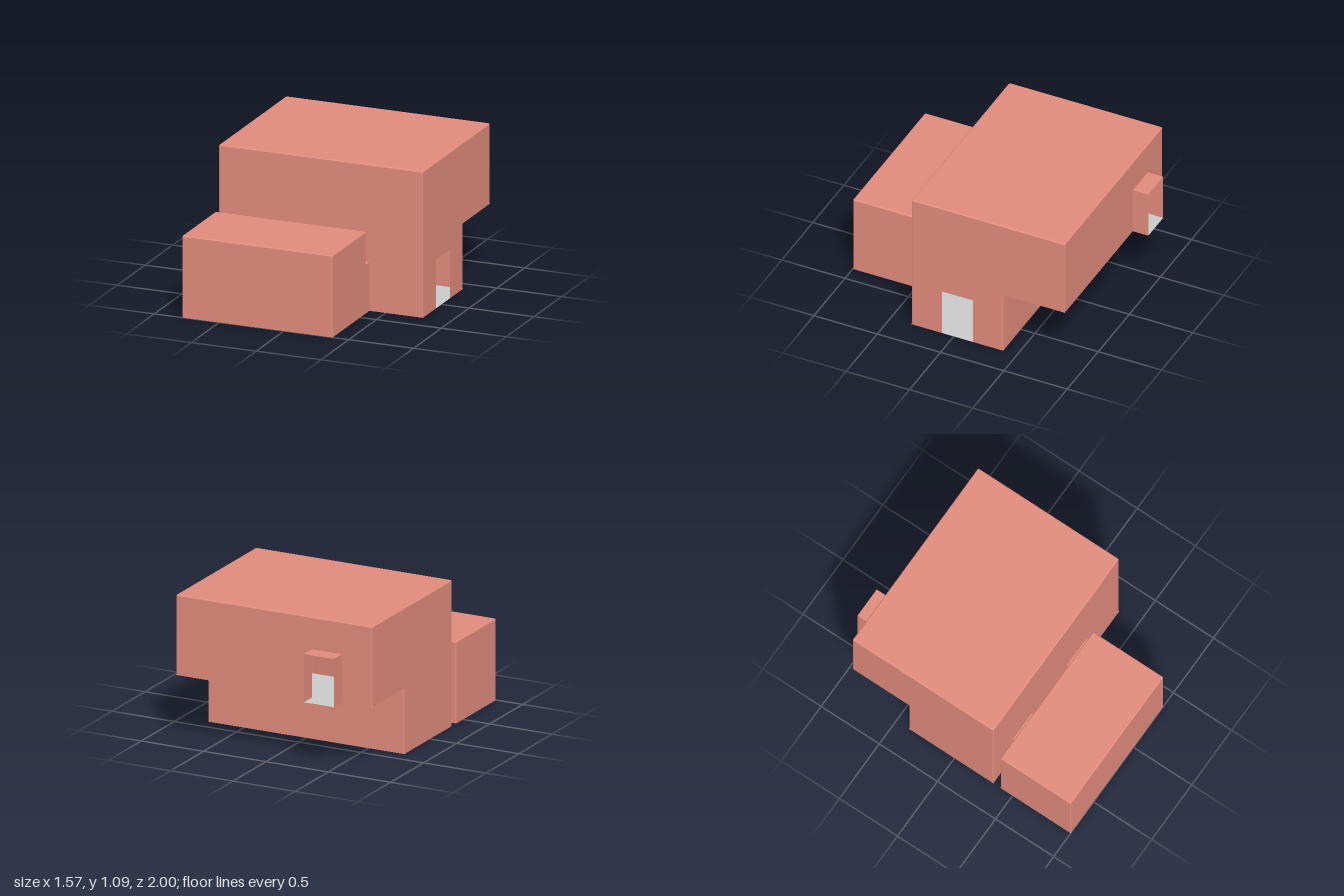
import * as THREE from 'three';

const R = 0.01; // radius of the rounded wall edges

export function createModel() {
  const model = new THREE.Group();
  const wallMat = new THREE.MeshStandardMaterial({ color: 0xe28c7d, side: THREE.DoubleSide });
  const floorMat = new THREE.MeshStandardMaterial({ color: 0xcccccc, side: THREE.DoubleSide });

  // Flat sheet at a fixed x, y or z; its normal points along sign * axis.
  // In-plane axes: x -> (z, y), y -> (x, z), z -> (x, y).
  // doors: [from, to, top] cut upward from the lower edge.
  function panel(group, name, axis, sign, at, [u0, u1, v0, v1], doors = [], mat = wallMat) {
    const pts = [[u0, v0]];
    for (const [a, b, top] of doors) pts.push([a, v0], [a, top], [b, top], [b, v0]);
    pts.push([u1, v0], [u1, v1], [u0, v1]);
    const geo = new THREE.ShapeGeometry(new THREE.Shape(pts.map(p => new THREE.Vector2(...p))));
    const pos = geo.attributes.position;
    for (let i = 0; i < pos.count; i++) {
      const u = pos.getX(i), v = pos.getY(i);
      if (axis === 'x') pos.setXYZ(i, at, v, u);
      else if (axis === 'y') pos.setXYZ(i, u, at, v);
      else pos.setXYZ(i, u, v, at);
    }
    if (sign !== (axis === 'z' ? 1 : -1)) geo.setIndex(Array.from(geo.index.array).reverse());
    geo.computeVertexNormals();
    const mesh = new THREE.Mesh(geo, mat);
    mesh.name = name;
    group.add(mesh);
  }
  const floor = (group, name, y, rect) => panel(group, name, 'y', -1, y, rect, [], floorMat);

  // Quarter-round strip from a to b (arc centres), bulging between directions p and q
  function edge(group, a, b, p, q) {
    const pos = [], nor = [], idx = [], n = 4;
    const A = new THREE.Vector3(...a), B = new THREE.Vector3(...b);
    let P = new THREE.Vector3(...p), Q = new THREE.Vector3(...q);
    if (P.clone().cross(Q).dot(B.clone().sub(A)) < 0) [P, Q] = [Q, P];
    for (let i = 0; i <= n; i++) {
      const t = (i / n) * Math.PI / 2;
      const d = P.clone().multiplyScalar(Math.cos(t)).addScaledVector(Q, Math.sin(t));
      for (const end of [A, B]) {
        pos.push(...end.clone().addScaledVector(d, R).toArray());
        nor.push(...d.toArray());
      }
      const k = 2 * i;
      if (i < n) idx.push(k, k + 2, k + 1, k + 1, k + 2, k + 3);
    }
    const geo = new THREE.BufferGeometry();
    geo.setAttribute('position', new THREE.Float32BufferAttribute(pos, 3));
    geo.setAttribute('normal', new THREE.Float32BufferAttribute(nor, 3));
    geo.setIndex(idx);
    const mesh = new THREE.Mesh(geo, wallMat);
    mesh.name = 'roundedEdge';
    group.add(mesh);
  }

  // Upright rounded corners on both sides at one end in z
  function uprights(group, x0, x1, z, sz, y0, y1) {
    for (const [x, sx] of [[x0, -1], [x1, 1]]) {
      const X = x - sx * R, Z = z - sz * R;
      edge(group, [X, y0, Z], [X, y1, Z], [sx, 0, 0], [0, 0, sz]);
    }
  }

  // Roof with rounded rim and corners
  function roof(group, x0, x1, z0, z1, y) {
    const a = x0 + R, b = x1 - R, c = z0 + R, d = z1 - R, h = y - R;
    panel(group, 'roof', 'y', 1, y, [a, b, c, d]);
    for (const [z, s] of [[c, -1], [d, 1]]) edge(group, [a, h, z], [b, h, z], [0, 1, 0], [0, 0, s]);
    for (const [x, s] of [[a, -1], [b, 1]]) {
      edge(group, [x, h, c], [x, h, d], [0, 1, 0], [s, 0, 0]);
      for (const z of [c, d]) {
        const ball = new THREE.Mesh(new THREE.SphereGeometry(R, 12, 8), wallMat);
        ball.name = 'roofCorner';
        ball.position.set(x, h, z);
        group.add(ball);
      }
    }
  }

  // Short passage: two sides, ceiling and floor, open at both ends
  function passage(name, x0, x1, y0, y1, z0, z1) {
    const g = new THREE.Group();
    g.name = name;
    panel(g, 'passageSide', 'x', -1, x0, [z0, z1, y0, y1]);
    panel(g, 'passageSide', 'x', 1, x1, [z0, z1, y0, y1]);
    panel(g, 'passageCeiling', 'y', 1, y1, [x0, x1, z0, z1]);
    floor(g, 'passageFloor', y0, [x0, x1, z0, z1]);
    model.add(g);
  }

  const X0 = -0.787, X1 = 0.787;                           // main hall sides
  const zFront = 0.335, zBack = -0.39, zUpper = -0.877;    // main hall depths
  const yUp = 0.49, yTop = 1.09, door = 0.365;
  const doorA = [-0.545, -0.305], doorB = [0.13, 0.375];

  // Main hall with overhanging upper level
  const hall = new THREE.Group();
  hall.name = 'mainHall';
  const xs = [X0 + R, X1 - R];
  panel(hall, 'frontWall', 'z', 1, zFront, [...xs, 0, yTop - R], [[...doorA, door], [...doorB, door]]);
  panel(hall, 'lowerBackWall', 'z', -1, zBack, [...xs, 0, yUp]);
  panel(hall, 'upperBackWall', 'z', -1, zUpper, [...xs, yUp, yTop - R], [[...doorA, 0.85]]);
  for (const s of [-1, 1]) {
    const x = s < 0 ? X0 : X1;
    panel(hall, 'lowerSideWall', 'x', s, x, [zBack + R, zFront - R, 0, yUp], s > 0 ? [[-0.15, 0.095, door]] : []);
    panel(hall, 'upperSideWall', 'x', s, x, [zUpper + R, zFront - R, yUp, yTop - R]);
  }
  floor(hall, 'lowerFloor', 0, [X0, X1, zBack, zFront]);
  floor(hall, 'upperFloor', yUp, [X0, X1, zUpper, zBack]);
  uprights(hall, X0, X1, zFront, 1, 0, yTop - R);
  uprights(hall, X0, X1, zBack, -1, 0, yUp);
  uprights(hall, X0, X1, zUpper, -1, yUp, yTop - R);
  roof(hall, X0, X1, zUpper, zFront, yTop);
  model.add(hall);

  // Lower front room
  const room = new THREE.Group();
  room.name = 'frontRoom';
  const rx = 0.375, rz = 0.395, rTop = 0.61;
  panel(room, 'frontWall', 'z', 1, 1, [X0 + R, rx - R, 0, rTop - R]);
  panel(room, 'backWall', 'z', -1, rz, [X0 + R, rx - R, 0, rTop - R],
    [[...doorA, door], [doorB[0], rx - 1.5 * R, door]]);
  panel(room, 'sideWall', 'x', -1, X0, [rz + R, 1 - R, 0, rTop - R]);
  panel(room, 'sideWall', 'x', 1, rx, [rz + R, 1 - R, 0, rTop - R]);
  floor(room, 'floor', 0, [X0, rx, rz, 1]);
  uprights(room, X0, rx, 1, 1, 0, rTop - R);
  uprights(room, X0, rx, rz, -1, 0, rTop - R);
  roof(room, X0, rx, rz, 1, rTop);
  model.add(room);

  // Passages between the rooms and the raised exit at the back
  passage('passageA', ...doorA, 0, door, zFront, rz);
  passage('passageB', ...doorB, 0, door, zFront, rz + R);
  passage('backExit', ...doorA, yUp, 0.85, -1, zUpper);
  return model;
}
